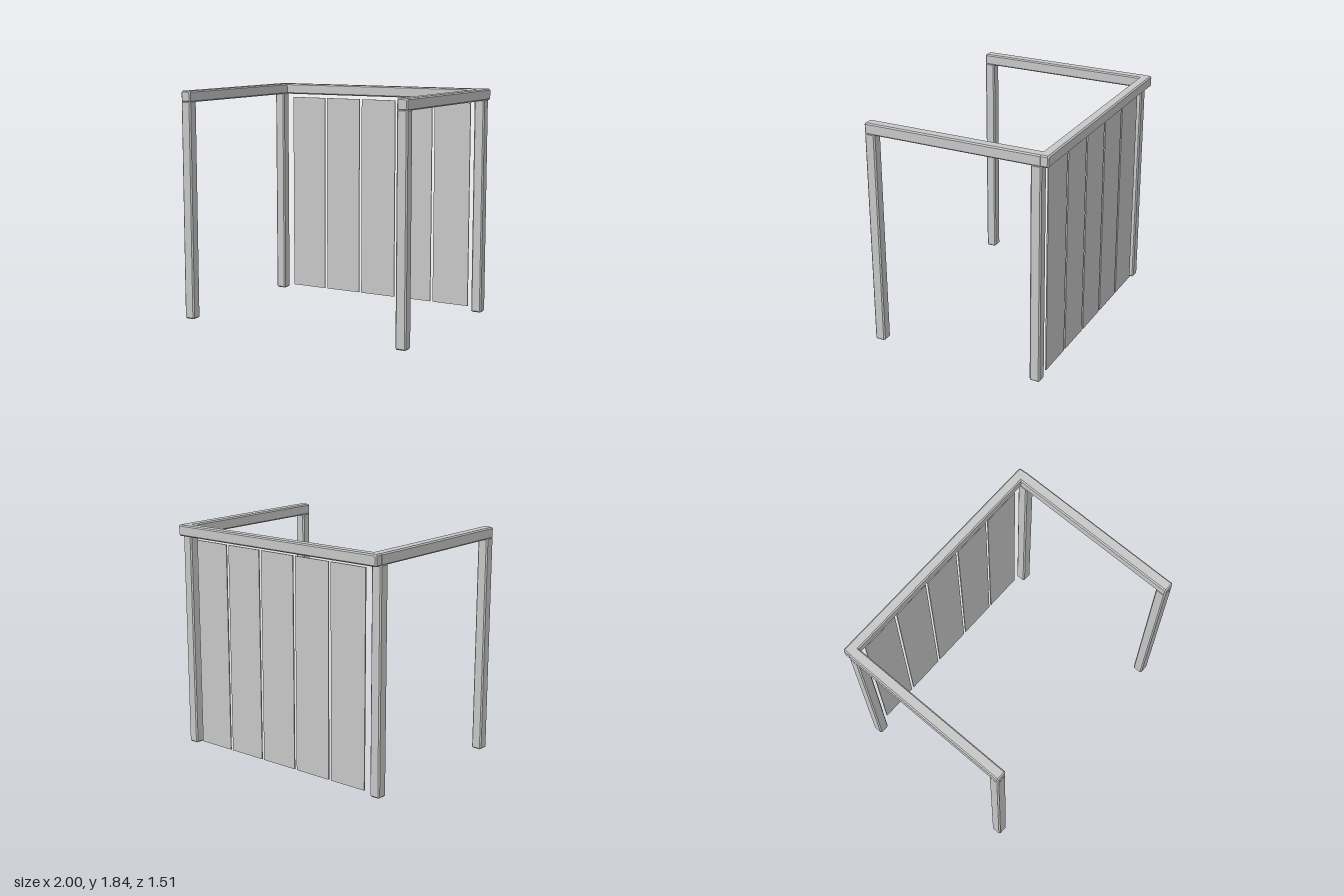
import * as THREE from 'three';

const C = 0.01; // chamfer on the frame edges

// Box with every edge chamfered, centred on the origin
function chamferedBox(w, h, d) {
  const x = w / 2, y = h / 2;
  const outline = new THREE.Shape([
    [x - C, -y], [x, -y + C], [x, y - C], [x - C, y],
    [-x + C, y], [-x, y - C], [-x, -y + C], [-x + C, -y],
  ].map(([px, py]) => new THREE.Vector2(px, py)));
  return new THREE.ExtrudeGeometry(outline, {
    depth: d - 2 * C, bevelThickness: C, bevelSize: C, bevelOffset: -C, bevelSegments: 1,
  }).translate(0, 0, C - d / 2);
}

export function createModel() {
  const group = new THREE.Group();
  const grey = new THREE.MeshStandardMaterial({ color: 0xc7c7c7 });
  grey.name = 'lightGrey';

  const add = (name, geometry, x, y, z) => {
    const mesh = new THREE.Mesh(geometry, grey);
    mesh.name = name;
    mesh.position.set(x, y, z);
    group.add(mesh);
  };
  // Chamfered bar given by its extents
  const bar = (name, x0, x1, y0, y1, z0, z1) =>
    add(name, chamferedBox(x1 - x0, y1 - y0, z1 - z0),
      (x0 + x1) / 2, (y0 + y1) / 2, (z0 + z1) / 2);

  // Posts and side beams, mirrored left and right
  for (const [side, s] of [['left', 1], ['right', -1]]) {
    const x0 = Math.min(s, s * 0.913);
    const x1 = Math.max(s, s * 0.913);
    bar(side + 'FrontPost', x0, x1, 0, 1.76, 0.667, 0.752);
    bar(side + 'BackPost', x0, x1, 0, 1.76, -0.7, -0.615);
    bar(side + 'Beam', x0, x1, 1.75, 1.84, -0.7, 0.752);
  }

  // Back beam across the rear posts
  bar('backBeam', -0.997, 0.997, 1.75, 1.84, -0.754, -0.672);

  // Five hanging wall panels
  for (let i = 0; i < 5; i++) {
    add('wallPanel' + (i + 1), new THREE.BoxGeometry(0.323, 1.695, 0.009),
      (i - 2) * 0.346, 0.875, -0.684);
  }
  return group;
}
